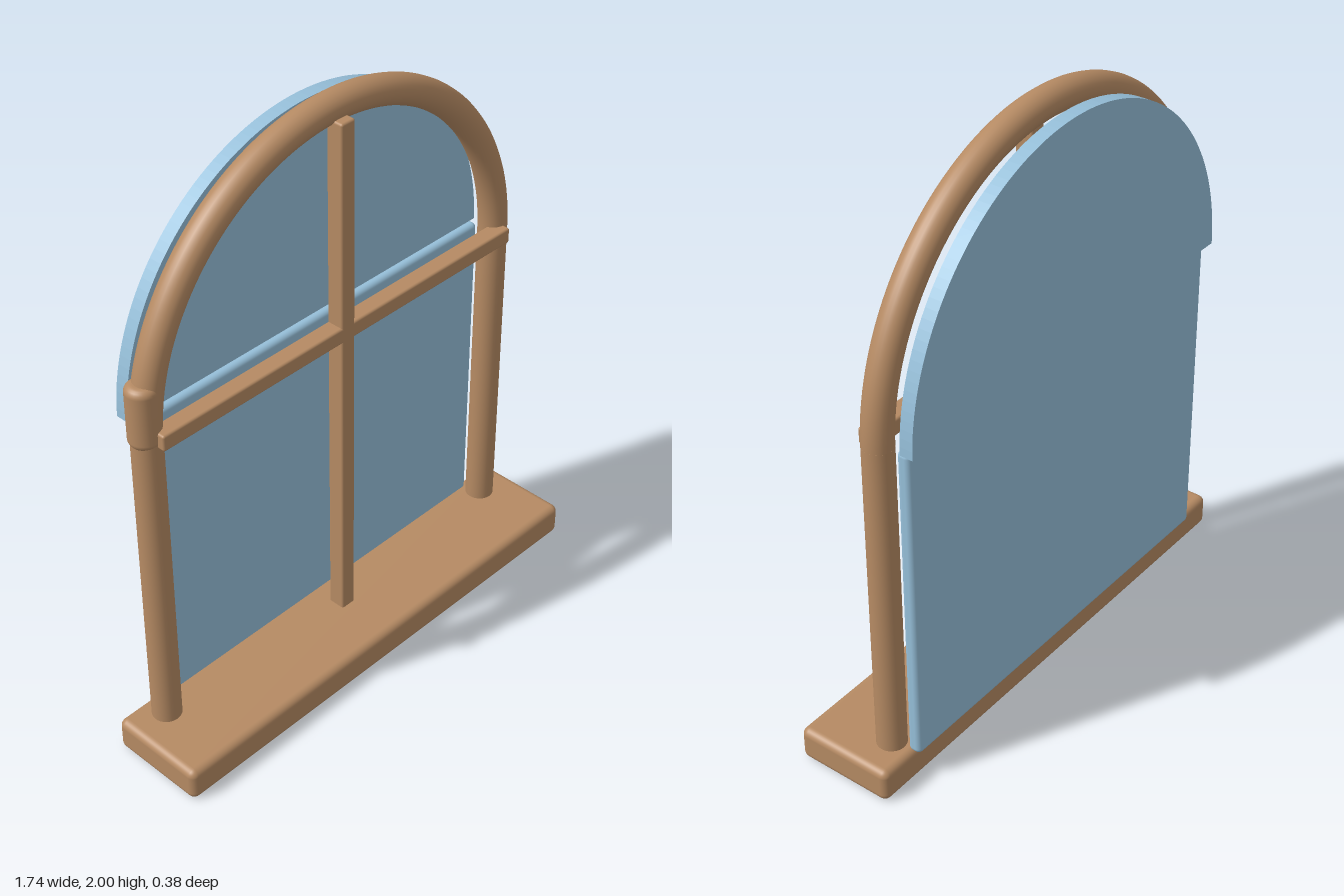
import * as THREE from 'three';
import { RoundedBoxGeometry } from 'three/addons/geometries/RoundedBoxGeometry.js';

const SPRING = 1.21;    // height where the arch begins
const RADIUS = 0.74;    // centre line of the arch
const TUBE = 0.048;     // frame thickness (radius)
const FRAME_Z = -0.067;

export function createModel() {
  const model = new THREE.Group();
  model.name = 'archedWindow';
  const wood = new THREE.MeshStandardMaterial({ color: 0xb58a63 });
  const glass = new THREE.MeshStandardMaterial({ color: 0x96bfd9 });

  function add(name, geometry, material, x = 0, y = 0, z = 0) {
    const mesh = new THREE.Mesh(geometry, material);
    mesh.name = name;
    mesh.position.set(x, y, z);
    model.add(mesh);
    return mesh;
  }

  // Rounded box given by its lower and upper corners
  function block(name, material, [x0, y0, z0], [x1, y1, z1], r) {
    const geometry = new RoundedBoxGeometry(x1 - x0, y1 - y0, z1 - z0, 4, r);
    return add(name, geometry, material, (x0 + x1) / 2, (y0 + y1) / 2, (z0 + z1) / 2);
  }

  // Sill
  block('sill', wood, [-0.87, 0, -0.15], [0.87, 0.115, 0.19], 0.025);

  // Round side posts and the half-ring arch above them
  const postBase = 0.08;
  for (const [name, side] of [['leftPost', 1], ['rightPost', -1]]) {
    const post = new THREE.CylinderGeometry(TUBE, TUBE, SPRING - postBase, 32);
    add(name, post, wood, side * RADIUS, (SPRING + postBase) / 2, FRAME_Z);
  }
  add('arch', new THREE.TorusGeometry(RADIUS, TUBE, 24, 96, Math.PI), wood, 0, SPRING, FRAME_Z);

  // Short round-ended sleeve where the right post meets the arch
  const r = 0.05, bevel = 0.025, half = 0.105;
  const profile = [new THREE.Vector2(0, -half)];
  for (const end of [-1, 1]) {
    for (let i = 0; i <= 6; i++) {
      const a = (end < 0 ? i - 6 : i) * Math.PI / 12;
      profile.push(new THREE.Vector2(
        r - bevel + bevel * Math.cos(a),
        end * (half - bevel) + bevel * Math.sin(a)));
    }
  }
  profile.push(new THREE.Vector2(0, half));
  add('sleeve', new THREE.LatheGeometry(profile, 32), wood, -0.746, 1.288, FRAME_Z);

  // Glazing bars
  block('verticalBar', wood, [-0.028, 0.09, -0.055], [0.028, 1.93, 0.006], 0.008);
  block('crossBar', wood, [-0.74, 1.185, -0.055], [0.74, 1.24, 0.006], 0.008);

  // Lower pane, and the half-round upper pane set slightly behind it
  block('lowerPane', glass, [-0.73, 0.1, -0.167], [0.73, SPRING, -0.12], 0.018);
  const halfRound = new THREE.Shape();
  halfRound.absarc(0, 0, RADIUS, 0, Math.PI, false);
  halfRound.closePath();
  const pane = new THREE.ExtrudeGeometry(halfRound, {
    depth: 0.045, bevelEnabled: false, curveSegments: 40,
  });
  add('upperPane', pane, glass, 0, SPRING, -0.19);

  return model;
}
